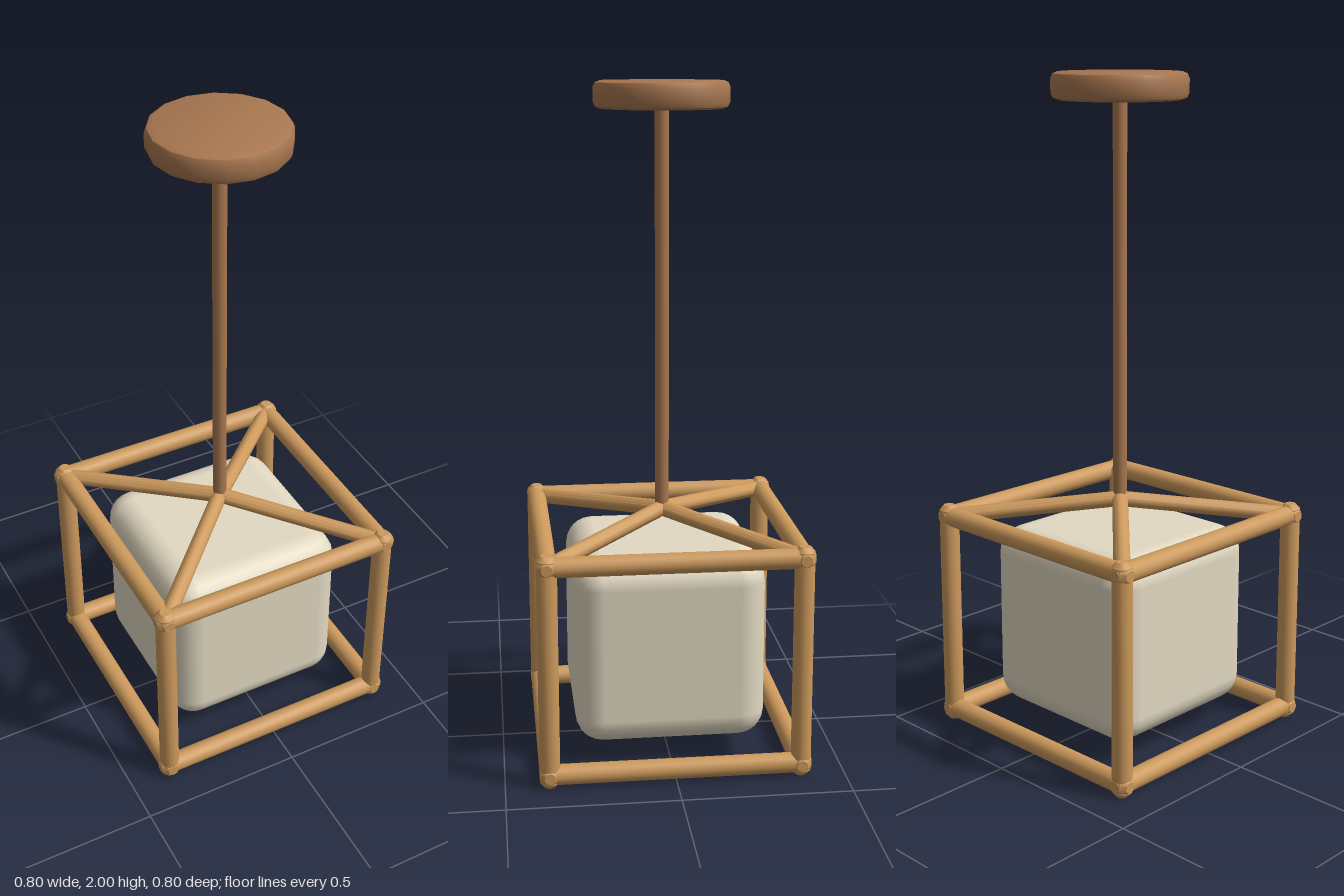
import * as THREE from 'three';
import { toCreasedNormals } from 'three/addons/utils/BufferGeometryUtils.js';
import { RoundedBoxGeometry } from 'three/addons/geometries/RoundedBoxGeometry.js';

const wood = new THREE.MeshStandardMaterial({ color: 0xcc995c });
const darkWood = new THREE.MeshStandardMaterial({ color: 0xa87750 });
const cream = new THREE.MeshStandardMaterial({ color: 0xe2d9c2 });

const UP = new THREE.Vector3(0, 1, 0);
const v = (x, y, z) => new THREE.Vector3(x, y, z);

function turned(points, sides) {
  const profile = points.map(([r, y]) => new THREE.Vector2(r, y));
  return toCreasedNormals(new THREE.LatheGeometry(profile, sides), 0.6);
}

// Round bar between two points, with chamfered ends running a little past them
function bar(name, a, b, radius, overrun) {
  const dir = b.clone().sub(a);
  const half = dir.length() / 2 + overrun;
  const c = radius * 0.5;
  const geometry = turned([
    [0, -half], [radius * 0.55, -half], [radius, -half + c],
    [radius, half - c], [radius * 0.55, half], [0, half],
  ], 16);
  const mesh = new THREE.Mesh(geometry, wood);
  mesh.name = name;
  mesh.position.copy(a).add(b).multiplyScalar(0.5);
  mesh.quaternion.setFromUnitVectors(UP, dir.normalize());
  return mesh;
}

export function createModel() {
  const model = new THREE.Group();
  model.name = 'pendantLamp';

  // Cubic cage of round bars
  const cage = new THREE.Group();
  cage.name = 'cage';
  const h = 0.37, low = 0.036, high = 0.668, r = 0.03;
  for (const s of [-1, 1]) {
    for (const y of [low, high]) {
      cage.add(bar('crossBar', v(-h, y, s * h), v(h, y, s * h), r, 0.032));
      cage.add(bar('sideBar', v(s * h, y, -h), v(s * h, y, h), r, 0.03));
    }
    for (const t of [-1, 1]) {
      cage.add(bar('cornerPost', v(s * h, low, t * h), v(s * h, high, t * h), r, 0.036));
      // Sloping braces meeting under the rod
      cage.add(bar('roofBrace', v(s * h, high, t * h), v(0, 0.722, 0), 0.024, 0.008));
    }
  }
  model.add(cage);

  // Rounded cube shade
  const shade = new THREE.Mesh(new RoundedBoxGeometry(0.57, 0.57, 0.57, 3, 0.083), cream);
  shade.name = 'shade';
  shade.position.y = 0.352;
  model.add(shade);

  // Hanging rod
  const rod = new THREE.Mesh(new THREE.CylinderGeometry(0.021, 0.021, 1.22, 16), darkWood);
  rod.name = 'rod';
  rod.position.y = 1.33;
  model.add(rod);

  // Ceiling canopy with softened rims
  const canopy = new THREE.Mesh(turned([
    [0, 1.92], [0.18, 1.92], [0.194, 1.926], [0.2, 1.94],
    [0.2, 1.98], [0.194, 1.994], [0.18, 2], [0, 2],
  ], 16), darkWood);
  canopy.name = 'canopy';
  model.add(canopy);

  return model;
}
